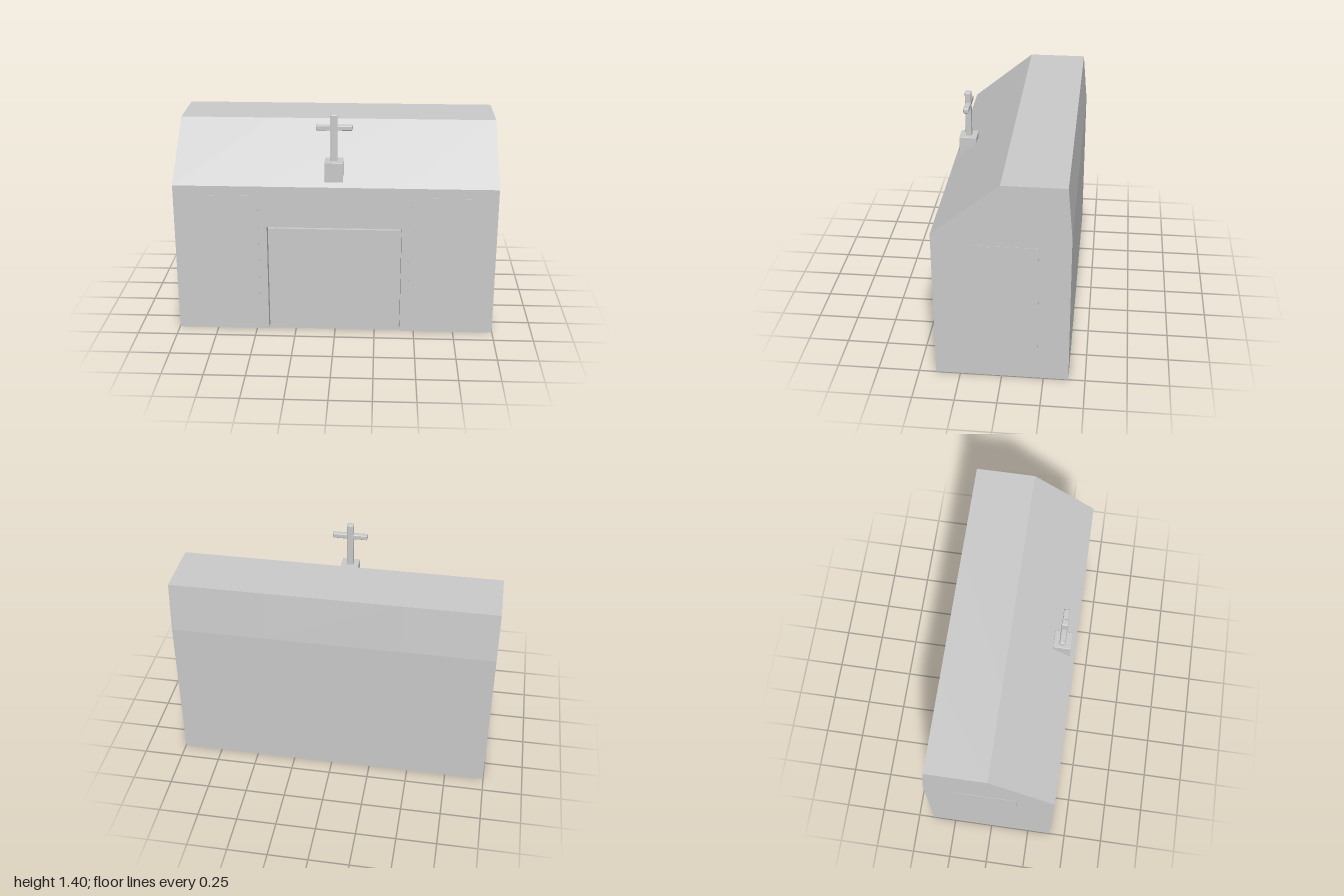
import * as THREE from 'three';
import { RoundedBoxGeometry } from 'three/addons/geometries/RoundedBoxGeometry.js';

const material = new THREE.MeshStandardMaterial({ color: 0xcccccc, flatShading: true });

// Block given by its limits on each axis, with optionally rounded edges
function block(name, [x0, x1], [y0, y1], [z0, z1], radius = 0) {
  const size = [x1 - x0, y1 - y0, z1 - z0];
  const geometry = radius
    ? new RoundedBoxGeometry(...size, 2, radius)
    : new THREE.BoxGeometry(...size);
  const mesh = new THREE.Mesh(geometry, material);
  mesh.position.set((x0 + x1) / 2, (y0 + y1) / 2, (z0 + z1) / 2);
  mesh.name = name;
  return mesh;
}

// Slice of the building: a [z, y] profile swept from x0 to x1
function slice(name, profile, x0, x1) {
  const shape = new THREE.Shape(profile.map(([z, y]) => new THREE.Vector2(z, y)));
  const geometry = new THREE.ExtrudeGeometry(shape, { depth: x1 - x0, bevelEnabled: false });
  geometry.rotateY(-Math.PI / 2).translate(x1, 0, 0);
  const mesh = new THREE.Mesh(geometry, material);
  mesh.name = name;
  return mesh;
}

export function createModel() {
  const model = new THREE.Group();
  model.name = 'chapel';

  // Walls and roof, with a doorway recess in the middle slice
  const W = 0.998, F = 0.398;
  const doorX = [-0.423, 0.412], doorTop = 0.7, recessZ = 0.3;
  const upper = [[F, 0.965], [0, 1.29], [-0.372, 1.29], [-0.4, 0.975], [-0.4, 0]];
  const solid = [[F, 0], ...upper];
  const notched = [[recessZ, 0], [recessZ, doorTop], [F, doorTop], ...upper];
  const body = new THREE.Group();
  body.name = 'body';
  body.add(
    slice('rightWall', solid, -W, doorX[0]),
    slice('doorwayWall', notched, ...doorX),
    slice('leftWall', solid, doorX[1], W)
  );
  model.add(body);

  // Door panel standing in the recess with a thin gap around it
  model.add(block('door', [-0.416, 0.403], [0.005, 0.691], [0.352, F - 0.001]));

  // Nearly flush window panels on the front and both ends
  const windowY = [0.2, 0.905];
  model.add(block('frontWindowRight', [-0.85, -0.475], windowY, [0.37, 0.4]));
  model.add(block('frontWindowLeft', [0.46, 0.835], windowY, [0.37, 0.4]));
  model.add(block('sideWindowRight', [-1, -0.97], windowY, [-0.215, 0.17]));
  model.add(block('sideWindowLeft', [0.97, 1], windowY, [-0.215, 0.17]));

  // Cross on a plinth set into the roof slope
  const cross = new THREE.Group();
  cross.name = 'cross';
  cross.add(
    block('plinth', [-0.064, 0.048], [0.96, 1.114], [0.26, 0.369], 0.003),
    block('post', [-0.029, 0.013], [1.1, 1.405], [0.295, 0.333], 0.006),
    block('crossbar', [-0.118, 0.104], [1.305, 1.337], [0.297, 0.331], 0.006)
  );
  model.add(cross);

  return model;
}
